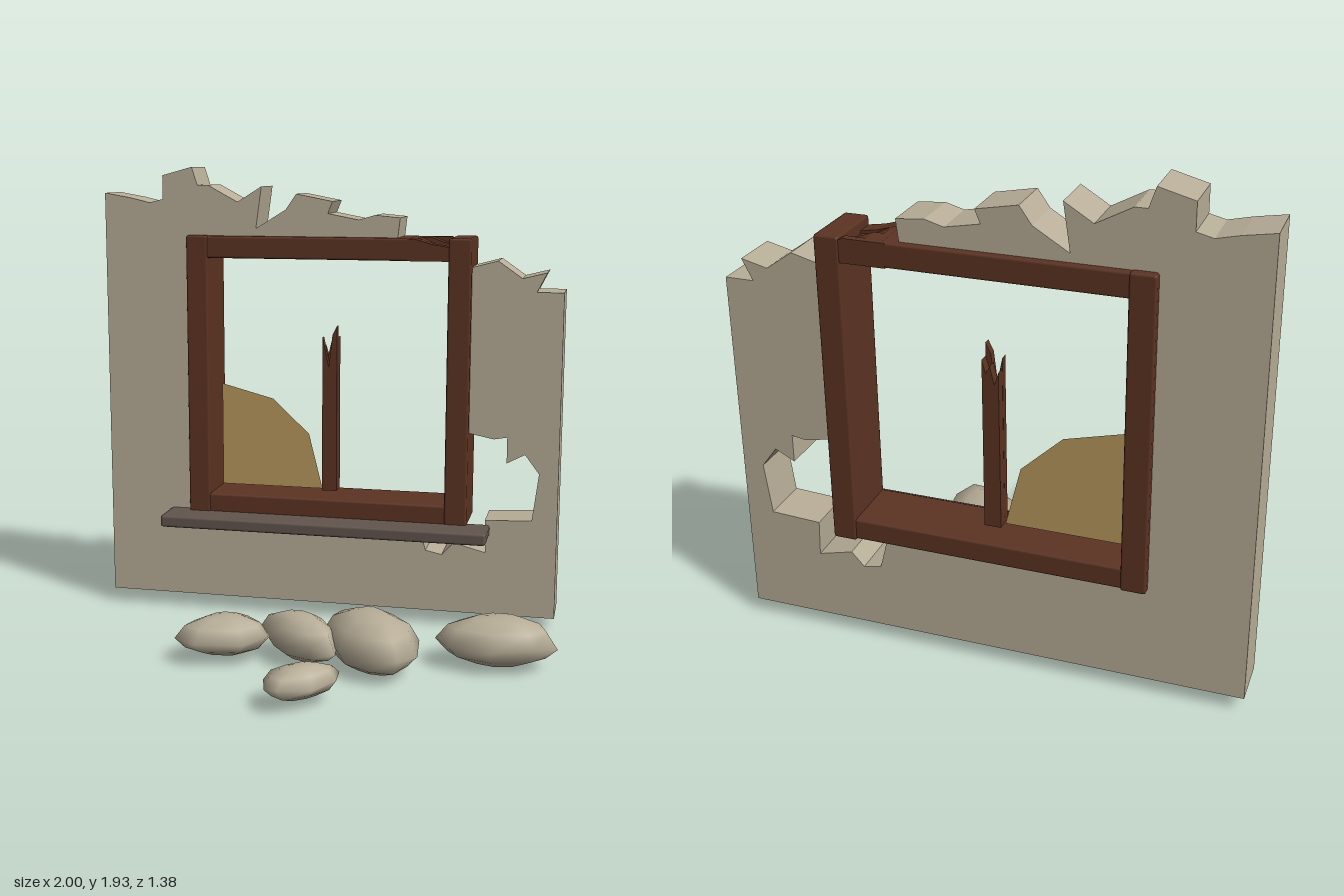
import * as THREE from 'three';
import { RoundedBoxGeometry } from 'three/addons/geometries/RoundedBoxGeometry.js';

const mat = (name, color, side = THREE.FrontSide) => {
  const m = new THREE.MeshStandardMaterial({ color, side });
  m.name = name;
  return m;
};

export function createModel() {
  const model = new THREE.Group();
  model.name = 'ruinedWindow';
  const stone = mat('stone', 0xb8ae98);
  const wood = mat('darkWood', 0x5c3322);
  const slate = mat('sillStone', 0x61544d);
  const glass = mat('amberGlass', 0xb9995e, THREE.DoubleSide);

  const add = (name, geometry, material) => {
    const mesh = new THREE.Mesh(geometry, material);
    mesh.name = name;
    model.add(mesh);
    return mesh;
  };
  const outline = (pts) => new THREE.Shape(pts.map(([x, y]) => new THREE.Vector2(x, y)));
  // Front outline extruded between two depths
  const slab = (name, pts, z0, z1, material) => {
    const g = new THREE.ExtrudeGeometry(outline(pts), { depth: z1 - z0, bevelEnabled: false });
    return add(name, g.translate(0, 0, z0), material);
  };
  // Softly bevelled block given by its limits
  const block = (name, [x0, x1], [y0, y1], [z0, z1], material, r = 0.01) => {
    const g = new RoundedBoxGeometry(x1 - x0, y1 - y0, z1 - z0, 1, r);
    return add(name, g.translate((x0 + x1) / 2, (y0 + y1) / 2, (z0 + z1) / 2), material);
  };

  // Broken wall: one outline running round the outside and the open window
  slab('brokenWall', [
    [-1, 0.06], [0.96, 0.06], [0.96, 1.435], [0.85, 1.435], [0.89, 1.515], [0.79, 1.49],
    [0.69, 1.56], [0.54, 1.52], [0.54, 0.85], [0.69, 0.82], [0.745, 0.83], [0.745, 0.72],
    [0.82, 0.76], [0.88, 0.68], [0.855, 0.48], [0.66, 0.47], [0.665, 0.33], [0.53, 0.365],
    [0.48, 0.31], [0.41, 0.325], [0.37, 0.48], [-0.58, 0.48], [-0.58, 1.6], [0.27, 1.6],
    [0.285, 1.73], [0.18, 1.74], [0.11, 1.72], [-0.02, 1.745], [0, 1.795], [-0.155, 1.825],
    [-0.2, 1.76], [-0.33, 1.68], [-0.305, 1.855], [-0.41, 1.79], [-0.54, 1.86],
    [-0.585, 1.86], [-0.61, 1.935], [-0.74, 1.9], [-0.74, 1.8], [-0.8, 1.785],
    [-0.885, 1.805], [-1, 1.825],
  ], -0.66, -0.47, stone);

  // Timber frame
  block('leftPostFromFront', [-0.63, -0.535], [0.44, 1.65], [-0.69, -0.435], wood);
  block('rightPostFromFront', [0.49, 0.585], [0.44, 1.65], [-0.69, -0.435], wood);
  block('bottomRail', [-0.545, 0.5], [0.445, 0.53], [-0.685, -0.44], wood);
  block('topRail', [-0.545, 0.34], [1.555, 1.648], [-0.685, -0.44], wood);

  // Splintered end of the top rail, cut in layers of differing depth
  const cuts = [
    [-0.685, -0.655, 0.45, 1.635], [-0.655, -0.59, 0.4, 1.615],
    [-0.59, -0.51, 0.36, 1.6], [-0.51, -0.44, 0.35, 1.612],
  ];
  cuts.forEach(([z0, z1, x, y]) => slab('splinteredRailEnd', [
    [0.32, 1.555], [0.5, 1.555], [0.5, y], [(x + 0.5) / 2, y + 0.012], [x, 1.646], [0.32, 1.646],
  ], z0, z1, wood));

  // Snapped centre bar with uneven splinters front and back
  slab('brokenBarFront', [
    [-0.055, 0.55], [0.01, 0.55], [0.01, 1.27], [-0.01, 1.23], [-0.026, 1.09], [-0.053, 1.22],
  ], -0.555, -0.525, wood);
  slab('brokenBarBack', [
    [-0.055, 0.55], [0.01, 0.55], [0.01, 1.22], [-0.005, 1.17], [-0.02, 1.2], [-0.036, 1.13], [-0.052, 1.18],
  ], -0.595, -0.555, wood);

  // Remaining shard of glass
  add('glassShard', new THREE.ShapeGeometry(outline([
    [-0.51, 0.55], [-0.06, 0.55], [-0.12, 0.79], [-0.28, 0.94], [-0.51, 1],
  ])), glass).position.z = -0.56;

  // Window sill
  block('windowSill', [-0.725, 0.68], [0.4, 0.452], [-0.48, -0.31], slate, 0.012);

  // Rounded rubble: plan outlines stacked in rings, [x, z] clockwise from above
  const rings = [[0, 0.4], [0.2, 0.8], [0.48, 1], [0.8, 0.8], [0.97, 0.42]];
  const rubble = (y0, y1, pts) => {
    const n = pts.length, pos = [], index = [];
    const cx = pts.reduce((s, p) => s + p[0], 0) / n;
    const cz = pts.reduce((s, p) => s + p[1], 0) / n;
    rings.forEach(([t, s], k) => pts.forEach(([x, z], i) => {
      const lift = k === 2 ? 0.012 * Math.sin(i * 2.3) : 0;
      pos.push(cx + (x - cx) * s, y0 + (y1 - y0) * t + lift, cz + (z - cz) * s);
    }));
    const bottom = rings.length * n, top = bottom + 1;
    pos.push(cx, y0, cz, cx, y1, cz);
    for (let i = 0; i < n; i++) {
      const j = (i + 1) % n, last = (rings.length - 1) * n;
      for (let k = 0; k < last; k += n) {
        index.push(k + j, k + i, k + n + i, k + j, k + n + i, k + n + j);
      }
      index.push(bottom, i, j, top, last + j, last + i);
    }
    const g = new THREE.BufferGeometry();
    g.setAttribute('position', new THREE.Float32BufferAttribute(pos, 3));
    g.setIndex(index);
    g.computeVertexNormals();
    add('rubbleStone', g, stone);
  };
  rubble(0.03, 0.18, [[-0.485, 0.23], [-0.46, 0.14], [-0.41, 0.05], [-0.34, 0.005], [-0.22, 0.01],
    [-0.13, 0.1], [-0.125, 0.17], [-0.2, 0.25], [-0.39, 0.28]]);
  rubble(0.02, 0.19, [[-0.19, 0], [-0.13, -0.06], [-0.03, -0.07], [0.08, 0], [0.15, 0.12],
    [0.17, 0.25], [0.07, 0.26], [-0.05, 0.21], [-0.14, 0.1]]);
  rubble(0, 0.215, [[0.07, 0], [0.1, -0.09], [0.24, -0.18], [0.36, -0.08], [0.465, 0.05],
    [0.48, 0.2], [0.43, 0.33], [0.31, 0.32], [0.18, 0.24], [0.11, 0.12]]);
  rubble(0.015, 0.2, [[0.52, 0], [0.58, -0.09], [0.7, -0.175], [0.87, -0.175], [0.96, -0.11],
    [1, 0.005], [0.92, 0.09], [0.75, 0.13], [0.58, 0.08]]);
  rubble(0.035, 0.155, [[-0.035, 0.56], [0.08, 0.45], [0.13, 0.43], [0.225, 0.44], [0.23, 0.52],
    [0.16, 0.61], [0.05, 0.69], [-0.01, 0.65]]);

  return model;
}
